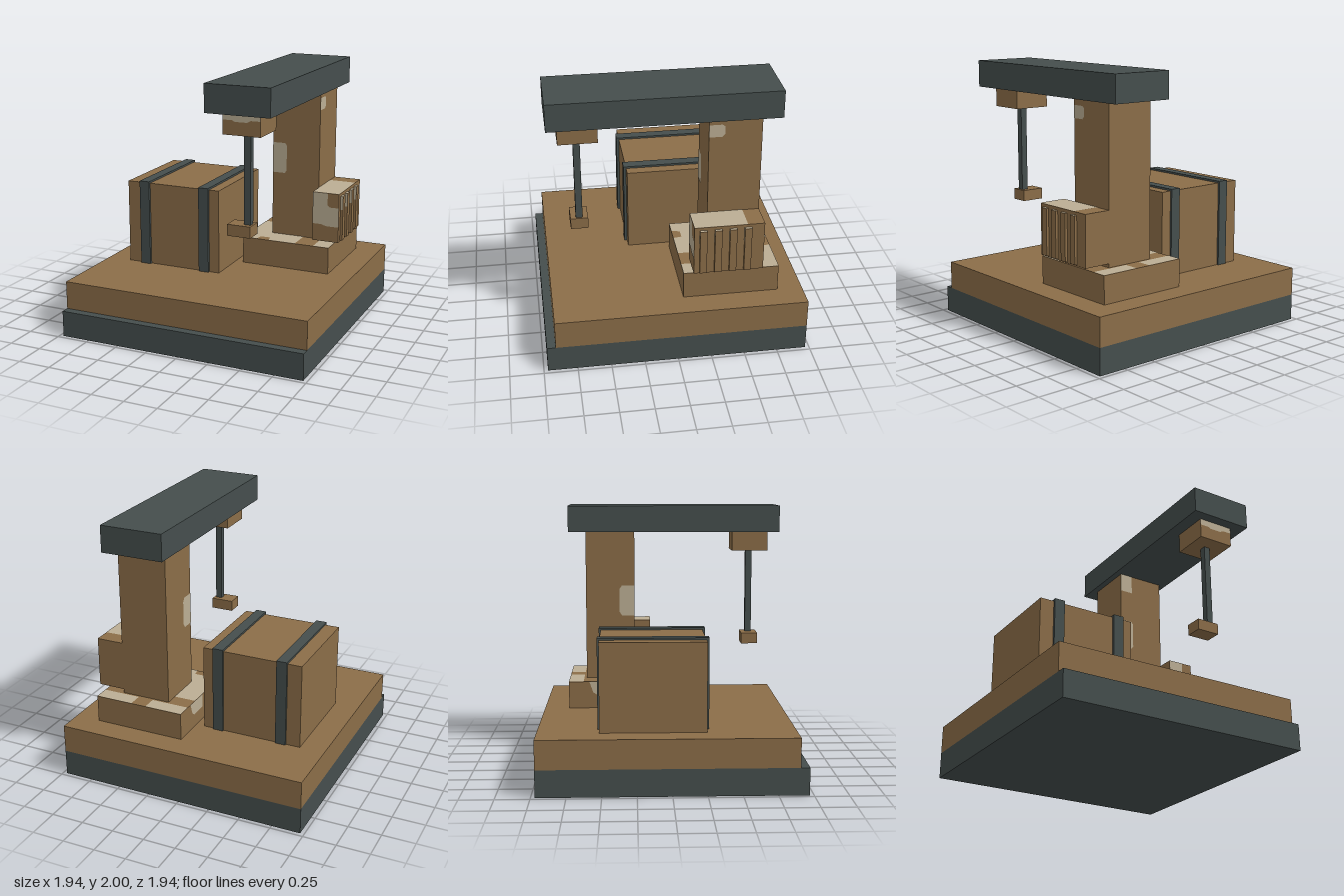
import * as THREE from 'three';

const paint = (name, color) => {
  const m = new THREE.MeshStandardMaterial({ color });
  m.name = name;
  return m;
};

export function createModel() {
  const model = new THREE.Group();
  model.name = 'craneStation';
  const rust = paint('brown', 0x8b6d48);
  const dark = paint('darkSteel', 0x454e4d);
  const worn = paint('wornBeige', 0xbbae94);

  // Solid block between two corners
  const block = (name, mat, [x0, x1], [y0, y1], [z0, z1]) => {
    const mesh = new THREE.Mesh(new THREE.BoxGeometry(x1 - x0, y1 - y0, z1 - z0), mat);
    mesh.position.set((x0 + x1) / 2, (y0 + y1) / 2, (z0 + z1) / 2);
    mesh.name = name;
    model.add(mesh);
  };

  // Flat paint patch on a face; points are (x,y), (z,y) or (x,z) by side
  const patch = (name, side, at, pts) => {
    const flip = { front: [1, 1], right: [-1, 1], left: [1, 1], top: [1, -1] }[side];
    const shape = new THREE.Shape(pts.map(([u, v]) => new THREE.Vector2(u * flip[0], v * flip[1])));
    const geo = new THREE.ShapeGeometry(shape);
    const d = at + (side === 'left' ? -0.002 : 0.002);
    if (side === 'front') geo.translate(0, 0, d);
    if (side === 'right') geo.rotateY(Math.PI / 2).translate(d, 0, 0);
    if (side === 'left') geo.rotateY(-Math.PI / 2).translate(d, 0, 0);
    if (side === 'top') geo.rotateX(-Math.PI / 2).translate(0, d, 0);
    const mesh = new THREE.Mesh(geo, worn);
    mesh.name = name;
    model.add(mesh);
  };

  // Base and deck
  block('base', dark, [-0.97, 0.97], [0, 0.2], [-0.97, 0.97]);
  block('deck', rust, [-0.97, 0.97], [0.2, 0.415], [-0.97, 0.905]);

  // Strapped crate
  block('crate', rust, [-0.78, 0], [0.415, 1.07], [-0.52, 0.255]);
  for (const x of [-0.67, -0.163]) block('crateStrap', dark, [x, x + 0.082], [0.415, 1.085], [-0.535, 0.275]);

  // Plinth, column and boom
  block('plinth', rust, [0.065, 0.775], [0.415, 0.625], [-0.78, -0.065]);
  block('column', rust, [0.235, 0.62], [0.625, 1.795], [-0.645, -0.26]);
  block('boom', dark, [0.185, 0.675], [1.795, 2], [-0.78, 0.885]);

  // Trolley, cable and hook block
  block('trolley', rust, [0.287, 0.57], [1.64, 1.795], [0.52, 0.805]);
  block('cable', dark, [0.4, 0.45], [0.975, 1.64], [0.64, 0.69]);
  block('hookBlock', rust, [0.287, 0.465], [0.89, 0.975], [0.6, 0.73]);

  // Motor housing with cooling fins
  block('motorHousing', rust, [0.62, 0.83], [0.655, 1.04], [-0.645, -0.13]);
  for (let i = 0; i < 4; i++) {
    const z = -0.17 - i * 0.109;
    block('coolingFin', rust, [0.83, 0.85], [0.665, 1.015], [z - 0.052, z]);
    patch('finTopWear', 'top', 1.015, [[0.83, z - 0.052], [0.85, z - 0.052], [0.85, z], [0.83, z]]);
    patch('finFrontWear', 'front', z, [[0.83, 0.91], [0.85, 0.91], [0.85, 1.015], [0.83, 1.015]]);
  }

  // Worn paint on the motor housing
  patch('housingFrontWear', 'front', -0.13, [[0.62, 0.79], [0.69, 0.79], [0.73, 0.778], [0.83, 0.778],
    [0.83, 0.93], [0.76, 0.93], [0.74, 0.945], [0.74, 1.04], [0.62, 1.04]]);
  patch('housingTopWear', 'top', 1.04, [[0.62, -0.13], [0.83, -0.13], [0.83, -0.52], [0.62, -0.52]]);

  // Worn paint on the column and trolley
  patch('columnFrontWear', 'front', -0.26, [[0.235, 1.13], [0.335, 1.13], [0.35, 1.15], [0.35, 1.35], [0.335, 1.37], [0.235, 1.37]]);
  patch('columnLeftWear', 'left', 0.235, [[-0.26, 1.13], [-0.36, 1.13], [-0.38, 1.16], [-0.38, 1.34], [-0.36, 1.37], [-0.26, 1.37]]);
  patch('columnTopWear', 'front', -0.26, [[0.235, 1.64], [0.34, 1.64], [0.34, 1.795], [0.235, 1.795]]);
  patch('columnRightWear', 'right', 0.62, [[-0.26, 1.65], [-0.355, 1.65], [-0.375, 1.67], [-0.375, 1.73], [-0.355, 1.745], [-0.26, 1.745]]);
  patch('trolleyWear', 'front', 0.805, [[0.287, 1.745], [0.36, 1.745], [0.38, 1.735], [0.47, 1.735],
    [0.5, 1.75], [0.57, 1.75], [0.57, 1.795], [0.287, 1.795]]);

  // Worn paint around the plinth top
  patch('plinthLeftWear', 'top', 0.625, [[0.065, -0.545], [0.235, -0.545], [0.235, -0.26], [0.5, -0.26], [0.5, -0.065],
    [0.28, -0.065], [0.27, -0.13], [0.19, -0.13], [0.18, -0.065], [0.065, -0.065]]);
  patch('plinthRightWear', 'top', 0.625, [[0.65, -0.26], [0.775, -0.26], [0.775, -0.065], [0.65, -0.065]]);
  for (const [a, b] of [[0.065, 0.36], [0.48, 0.775]])
    patch('plinthBackWear', 'top', 0.625, [[a, -0.78], [b, -0.78], [b, -0.665], [a, -0.665]]);
  patch('plinthSideWear', 'left', 0.065, [[-0.62, 0.625], [-0.59, 0.54], [-0.56, 0.52], [-0.42, 0.52], [-0.42, 0.625]]);

  return model;
}
